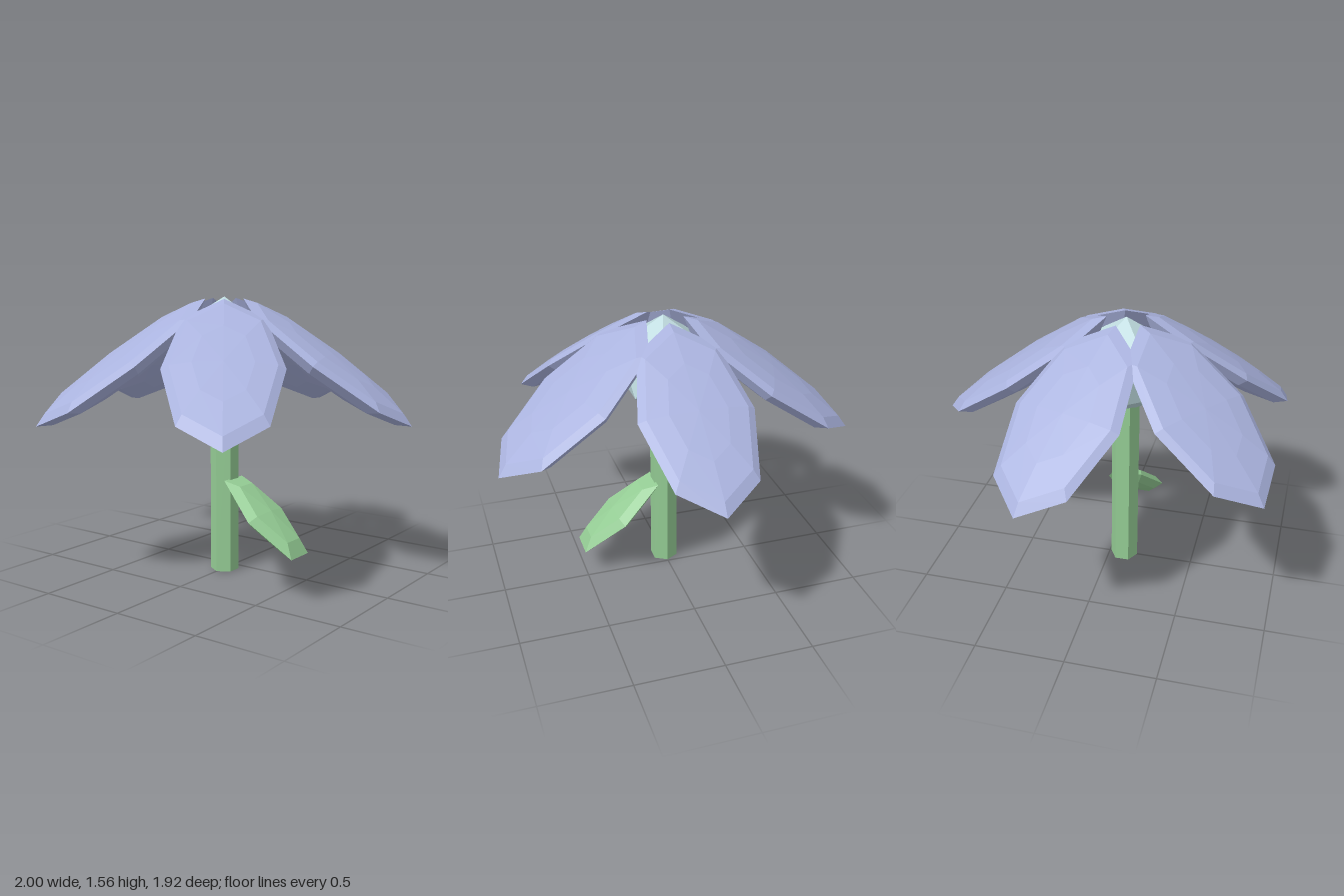
import * as THREE from 'three';
import { ConvexGeometry } from 'three/addons/geometries/ConvexGeometry.js';

const mat = (name, color) => {
  const m = new THREE.MeshStandardMaterial({ color, flatShading: true });
  m.name = name;
  return m;
};

// Flattened low-poly lens: width along x, length along z, separate top and bottom bulge
function lens(sides, rings, width, top, bottom, length) {
  const g = new THREE.SphereGeometry(1, sides, rings);
  const p = g.attributes.position;
  for (let i = 0; i < p.count; i++) {
    const y = p.getY(i);
    p.setXYZ(i, p.getX(i) * width, y * (y > 0 ? top : bottom), p.getZ(i) * length);
  }
  const flat = g.toNonIndexed();
  flat.computeVertexNormals();
  return flat;
}

// Place a blade around the stem axis, sloping down and outwards
function blade(name, geometry, material, angle, radius, y, pitch) {
  const pivot = new THREE.Group();
  const mesh = new THREE.Mesh(geometry, material);
  mesh.name = pivot.name = name;
  mesh.position.set(0, y, radius);
  mesh.rotation.x = pitch;
  pivot.rotation.y = angle;
  pivot.add(mesh);
  return pivot;
}

export function createModel() {
  const lilac = mat('lilac', 0xaab3de);
  const paleBlue = mat('pale blue', 0xbfdbdf);
  const green = mat('green', 0x94cc94);

  const flower = new THREE.Group();
  flower.name = 'flower';
  const plant = new THREE.Group();
  plant.name = 'plant';
  plant.position.z = 0.09;
  flower.add(plant);

  // Hexagonal stem
  const stem = new THREE.Mesh(new THREE.CylinderGeometry(0.08, 0.08, 1.1, 6), green);
  stem.name = 'stem';
  stem.position.y = 0.55;
  plant.add(stem);

  // Single leaf on the left side
  plant.add(blade('leaf', lens(6, 4, 0.17, 0.053, 0.053, 0.34), green, Math.PI / 2, 0.285, 0.35, 0.702));

  // Twenty-sided heart standing on a corner
  const R = 0.285;
  const points = [new THREE.Vector3(0, R, 0), new THREE.Vector3(0, -R, 0)];
  for (let k = 0; k < 10; k++) {
    const a = (k * Math.PI) / 5;
    const y = k % 2 ? -0.4472 : 0.4472;
    points.push(new THREE.Vector3(Math.cos(a) * 0.8944, y, Math.sin(a) * 0.8944).multiplyScalar(R));
  }
  const heart = new THREE.Mesh(new ConvexGeometry(points), paleBlue);
  heart.name = 'flowerHeart';
  heart.position.y = 1.275;
  plant.add(heart);

  // Five drooping petals, one straight back
  const petal = lens(8, 6, 0.315, 0.055, 0.1, 0.576);
  for (let k = 0; k < 5; k++) {
    plant.add(blade('petal', petal, lilac, Math.PI + (k * Math.PI * 2) / 5, 0.58, 1.217, 0.616));
  }
  return flower;
}
